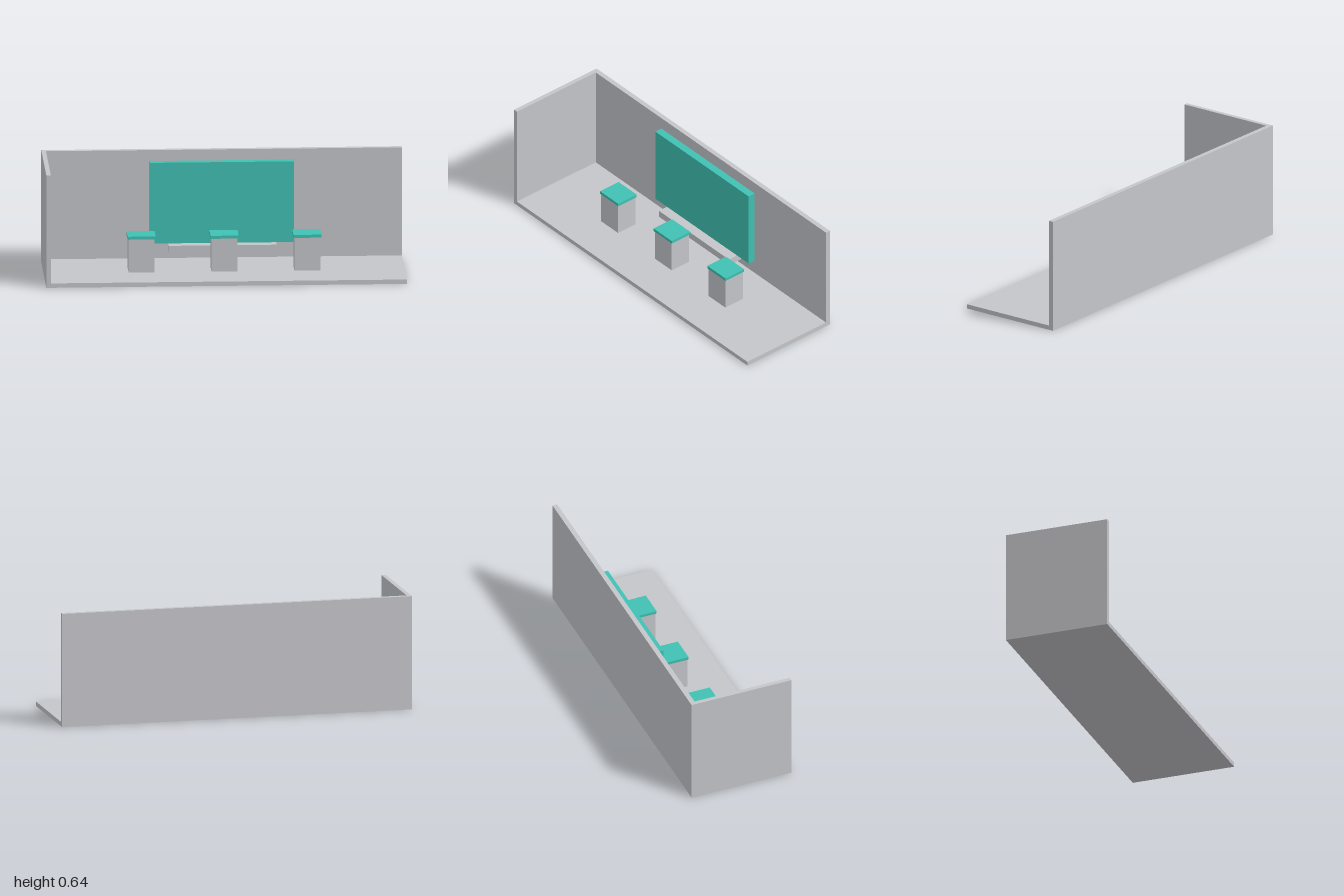
import * as THREE from 'three';

const grey = new THREE.MeshStandardMaterial({ name: 'light grey', color: 0xc5c6ca });
const teal = new THREE.MeshStandardMaterial({ name: 'teal', color: 0x40c1b3 });

// Box given by its [min, max] extent on each axis
function box(name, material, [x0, x1], [y0, y1], [z0, z1]) {
  const mesh = new THREE.Mesh(new THREE.BoxGeometry(x1 - x0, y1 - y0, z1 - z0), material);
  mesh.position.set((x0 + x1) / 2, (y0 + y1) / 2, (z0 + z1) / 2);
  mesh.name = name;
  return mesh;
}

// Plinth with a thin overhanging coloured top
function createPedestal(x) {
  const group = new THREE.Group();
  group.name = 'pedestal';
  group.add(
    box('pedestalBase', grey, [-0.0725, 0.0725], [0.025, 0.213], [-0.0635, 0.0635]),
    box('pedestalTop', teal, [-0.078, 0.078], [0.213, 0.23], [-0.0675, 0.0675])
  );
  group.position.x = x;
  return group;
}

export function createModel() {
  const model = new THREE.Group();
  model.name = 'exhibitionBooth';

  // Open shell: floor, back wall and one side wall
  model.add(
    box('floor', grey, [-1, 1], [0, 0.025], [-0.3, 0.3]),
    box('backWall', grey, [-0.975, 1], [0.025, 0.641], [-0.3, -0.272]),
    box('sideWall', grey, [-1, -0.975], [0.025, 0.641], [-0.3, 0.3])
  );

  // Display panel just clear of the wall, with a shelf beneath it
  model.add(
    box('displayPanel', teal, [-0.4, 0.4], [0.121, 0.581], [-0.262, -0.218]),
    box('shelf', grey, [-0.3, 0.3], [0.081, 0.121], [-0.248, -0.159])
  );

  for (const x of [-0.46, 0, 0.46]) model.add(createPedestal(x));

  return model;
}
